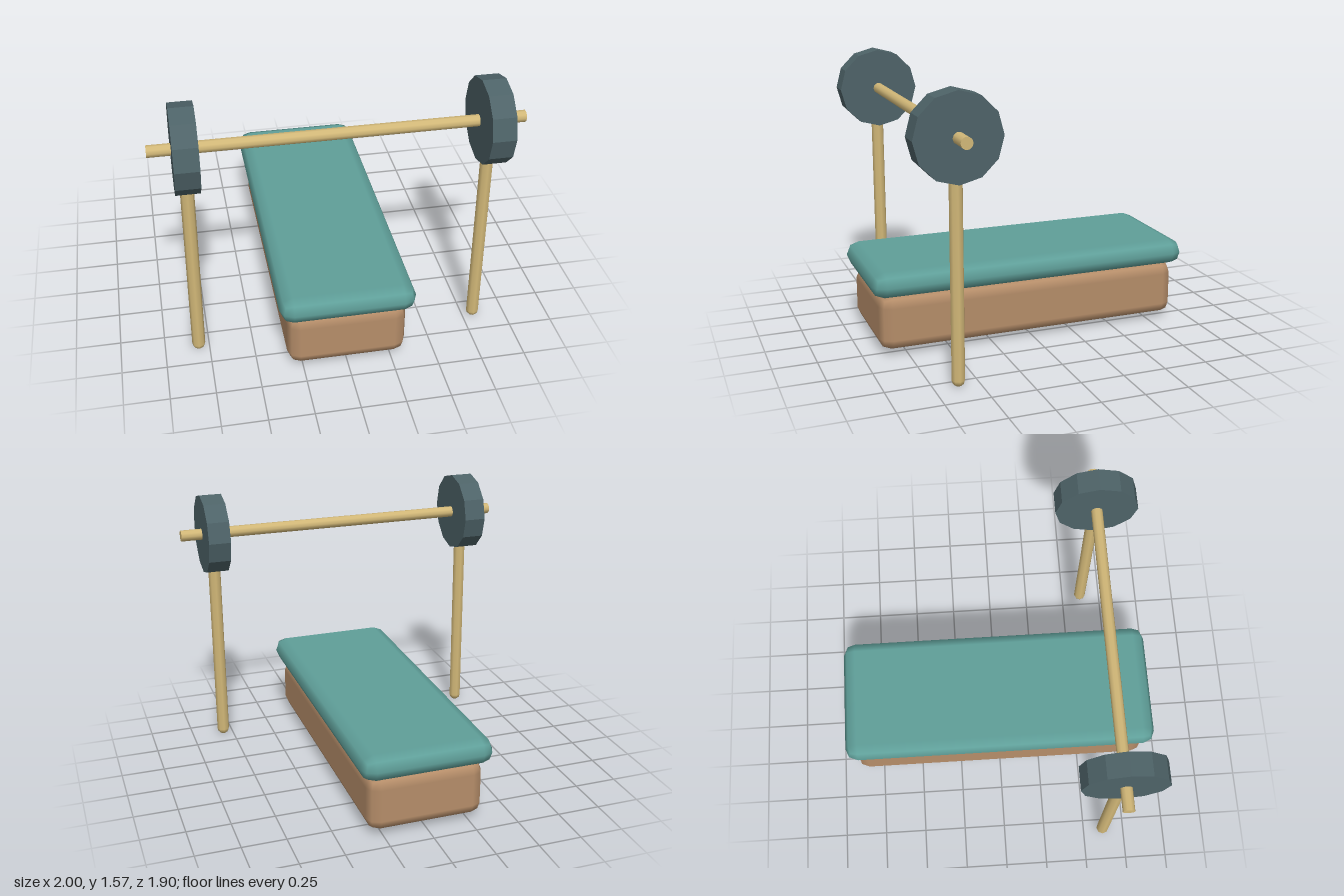
import * as THREE from 'three';
import { RoundedBoxGeometry } from 'three/addons/geometries/RoundedBoxGeometry.js';

export function createModel() {
  const model = new THREE.Group();
  model.name = 'weightBench';

  const wood = new THREE.MeshStandardMaterial({ color: 0xb58d69 });
  const cushion = new THREE.MeshStandardMaterial({ color: 0x5f9f99 });
  const iron = new THREE.MeshStandardMaterial({ color: 0x4e6368, flatShading: true });
  const brass = new THREE.MeshStandardMaterial({ color: 0xd2b878 });

  function add(name, geometry, material, x, y, z) {
    const mesh = new THREE.Mesh(geometry, material);
    mesh.name = name;
    mesh.position.set(x, y, z);
    model.add(mesh);
    return mesh;
  }

  // Bench: wooden base with an overhanging cushion
  add('benchBase', new RoundedBoxGeometry(0.67, 0.326, 1.81, 1, 0.069), wood, 0, 0.19, 0);
  add('benchCushion', new RoundedBoxGeometry(0.76, 0.15, 1.9, 1, 0.075), cushion, 0, 0.42, 0);

  // Barbell: long bar through two twelve-sided plates
  const barY = 1.335, barZ = 0.617, sideX = 0.81;
  const barGeometry = new THREE.CylinderGeometry(0.033, 0.033, 2, 10).rotateZ(Math.PI / 2);
  add('bar', barGeometry, brass, 0, barY, barZ);

  const plateGeometry = new THREE.CylinderGeometry(0.237, 0.237, 0.13, 12).rotateZ(Math.PI / 2);
  // Round-ended uprights whose tops sit inside the plates
  const postRadius = 0.037, postHeight = 1.2;
  const postGeometry = new THREE.CapsuleGeometry(postRadius, postHeight - 2 * postRadius, 3, 8);

  for (const [side, s] of [['left', 1], ['right', -1]]) {
    add(side + 'Plate', plateGeometry, iron, s * sideX, barY, barZ);
    add(side + 'Post', postGeometry, brass, s * sideX, postHeight / 2, barZ);
  }

  return model;
}
